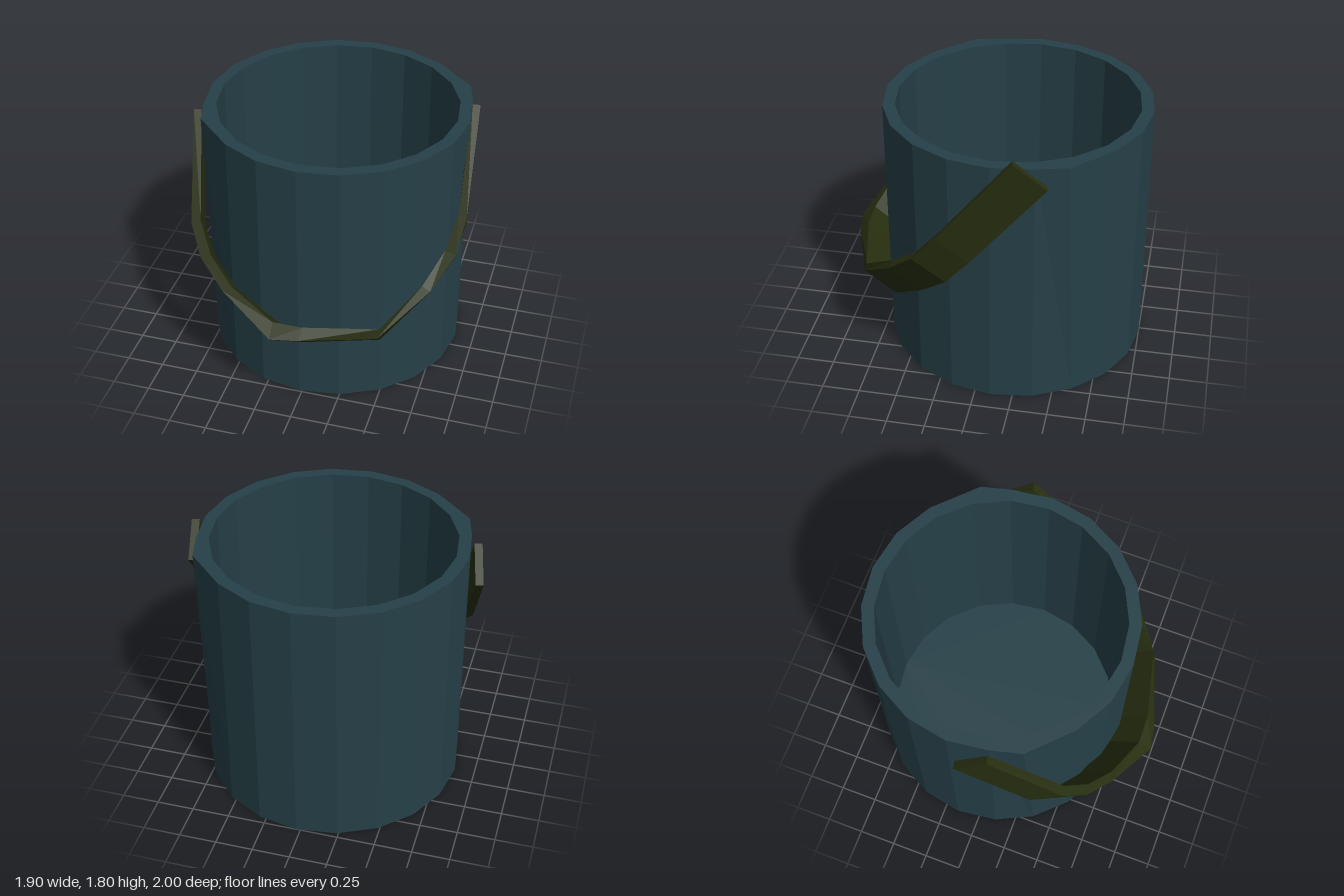
import * as THREE from 'three';

// Skins a list of equal-sized rings with flat faces and closes both ends.
function loft(rings) {
  const pos = [];
  const tri = (a, b, c) => pos.push(...a, ...b, ...c);
  const n = rings[0].length;
  for (let k = 0; k < rings.length - 1; k++) {
    for (let i = 0; i < n; i++) {
      const j = (i + 1) % n;
      tri(rings[k][i], rings[k + 1][i], rings[k + 1][j]);
      tri(rings[k][i], rings[k + 1][j], rings[k][j]);
    }
  }
  const first = rings[0], last = rings[rings.length - 1];
  for (let i = 1; i < n - 1; i++) {
    tri(first[0], first[i], first[i + 1]);
    tri(last[0], last[i + 1], last[i]);
  }
  const geo = new THREE.BufferGeometry();
  geo.setAttribute('position', new THREE.Float32BufferAttribute(pos, 3));
  geo.computeVertexNormals();
  return geo;
}

function makeMesh(name, geometry, material) {
  const mesh = new THREE.Mesh(geometry, material);
  mesh.name = name;
  return mesh;
}

// Twenty-sided ring; the two handle lugs are pulled outwards when lugs is true.
function bucketRing(radius, y, lugs = false) {
  const ring = [];
  for (let i = 0; i < 20; i++) {
    const lug = lugs && i % 10 === 3;
    const a = THREE.MathUtils.degToRad(1.6 + i * 18 + (lug ? 5 : 0));
    const r = lug ? radius + 0.03 : radius;
    ring.push([0.005 + r * Math.sin(a), y, -0.13 - r * Math.cos(a)]);
  }
  return ring;
}

export function createModel() {
  const group = new THREE.Group();
  const bucketBlue = new THREE.MeshStandardMaterial({ color: 0x264048, flatShading: true });
  bucketBlue.name = 'dark teal';
  const handleGreen = new THREE.MeshStandardMaterial({ color: 0x272f10, flatShading: true });
  handleGreen.name = 'dark olive';

  // Bucket: outer wall, rim, inner wall and floor in one skin
  group.add(makeMesh('bucket', loft([
    bucketRing(0.87, 0),
    bucketRing(0.87, 1.745, true),
    bucketRing(0.79, 1.745),
    bucketRing(0.79, 0.08),
  ]), bucketBlue));

  // Handle stations, model's right to left: upper outer corner, upper inner corner, sideways lean
  const stations = [
    [[-0.90, 1.69, 0.12], [-0.85, 1.69, 0.11], -0.055],
    [[-0.78, 1.12, 0.58], [-0.72, 1.14, 0.565], -0.055],
    [[-0.675, 0.96, 0.715], [-0.61, 0.98, 0.70], -0.05],
    [[-0.495, 0.815, 0.83], [-0.435, 0.84, 0.81], -0.04],
    [[-0.13, 0.63, 1.0], [-0.135, 0.70, 0.91], -0.015],
    [[0.05, 0.63, 0.965], [0.06, 0.695, 0.905], -0.015],
    [[0.52, 0.63, 0.81], [0.53, 0.695, 0.79], -0.025],
    [[0.80, 0.88, 0.56], [0.745, 0.905, 0.55], -0.045],
    [[0.92, 1.06, 0.38], [0.845, 1.07, 0.36], -0.04],
    [[0.945, 1.25, 0.22], [0.89, 1.255, 0.21], -0.03],
    [[0.91, 1.80, -0.25], [0.86, 1.80, -0.24], -0.04],
  ];
  const lower = ([x, y, z], lean) => [x + lean, y - 0.177, z - 0.203];
  group.add(makeMesh('handle', loft(stations.map(([outer, inner, lean]) =>
    [outer, inner, lower(inner, lean), lower(outer, lean)])), handleGreen));

  return group;
}
